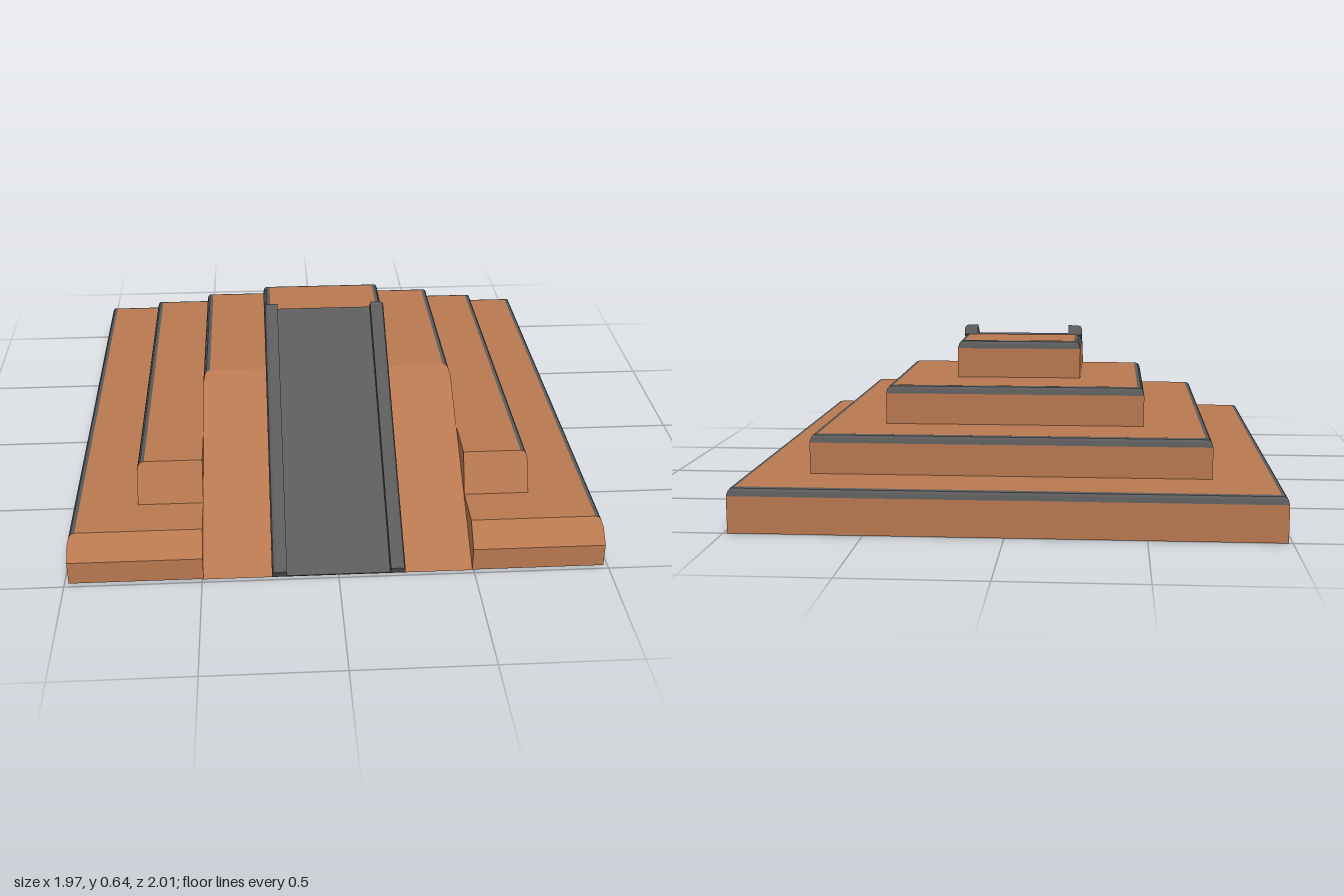
import * as THREE from 'three';

const brick = new THREE.MeshStandardMaterial({ color: 0xb87850 });
brick.name = 'terracotta';
const stone = new THREE.MeshStandardMaterial({ color: 0x5a5a5a });
stone.name = 'dark stone';

const SLOPE = 0.61, RAMP_HALF = 0.495, STAIR_HALF = 0.245, RAMP_FOOT = 0.983;
const rampZ = (y) => RAMP_FOOT - y / SLOPE;

// Edge trim section: [inset, drop below the top]
const TRIM = [[0, 0.03], [0.005, 0.012], [0.012, 0.003], [0.026, 0]];

// One terrace: stacked outlines with trimmed sides and back, plain front, optional notch for the ramp
function makeTier(name, half, back, lowYs, top, frontZ, notched) {
  const levels = [
    ...lowYs.map((y) => [0, y]),
    ...TRIM.map(([inset, drop]) => [inset, top - drop]),
  ];
  const rings = levels.map(([d, y]) => {
    const w = half - d, f = frontZ(y), n = RAMP_HALF, r = 0.2;
    const outline = [[w, f], [w, back + d], [-w, back + d], [-w, f]];
    if (notched) outline.push([-n, f], [-n, r], [n, r], [n, f]);
    return outline.map(([x, z]) => [x, y, z]);
  });

  const brickPos = [], stonePos = [];
  for (let k = 0; k < rings.length - 1; k++) {
    const lo = rings[k], hi = rings[k + 1];
    lo.forEach((a, i) => {
      const j = (i + 1) % lo.length;
      const target = k >= lowYs.length && i < 3 ? stonePos : brickPos;
      target.push(...a, ...lo[j], ...hi[j], ...a, ...hi[j], ...hi[i]);
    });
  }
  const cap = rings[rings.length - 1];
  const flat = cap.map(([x, , z]) => new THREE.Vector2(x, -z));
  for (const face of THREE.ShapeUtils.triangulateShape(flat, [])) {
    for (const i of face) brickPos.push(...cap[i]);
  }

  const group = new THREE.Group();
  group.name = name;
  for (const [part, pos, mat] of [['Body', brickPos, brick], ['EdgeTrim', stonePos, stone]]) {
    const geo = new THREE.BufferGeometry();
    geo.setAttribute('position', new THREE.Float32BufferAttribute(pos, 3));
    geo.computeVertexNormals();
    const mesh = new THREE.Mesh(geo, mat);
    mesh.name = name + part;
    group.add(mesh);
  }
  return group;
}

// Sloping stairway with a raised kerb on either side
function makeStairway() {
  const group = new THREE.Group();
  group.name = 'stairway';
  const length = 1.163, kerbIn = 0.19, kerbH = 0.044, slabH = 0.008, round = 0.016;

  const slabGeo = new THREE.BoxGeometry(kerbIn * 2, slabH, length);
  slabGeo.translate(0, slabH / 2, -length / 2);
  const slab = new THREE.Mesh(slabGeo, stone);
  slab.name = 'stairSlab';
  group.add(slab);

  for (const side of [1, -1]) {
    const pts = [
      [kerbIn, 0], [STAIR_HALF, 0], [STAIR_HALF, kerbH - round],
      [STAIR_HALF - round * 0.3, kerbH - round * 0.3],
      [STAIR_HALF - round, kerbH], [kerbIn, kerbH],
    ];
    const shape = new THREE.Shape(pts.map(([x, y]) => new THREE.Vector2(side * x, y)));
    const geo = new THREE.ExtrudeGeometry(shape, { depth: length, bevelEnabled: false });
    geo.translate(0, 0, -length);
    const kerb = new THREE.Mesh(geo, stone);
    kerb.name = side > 0 ? 'leftKerb' : 'rightKerb';
    group.add(kerb);
  }
  group.position.z = RAMP_FOOT;
  group.rotation.x = Math.atan(SLOPE);
  return group;
}

export function createModel() {
  const model = new THREE.Group();
  model.name = 'steppedPyramid';

  // Lower terraces, with chamfered fronts on both sides of the ramp
  const baseFront = (y) => 0.98 - Math.max(0, y - 0.09) * 1.07;
  const secondFront = (y) => 0.73 - Math.max(0, y - 0.165) * 0.47;
  model.add(makeTier('baseTier', 0.985, -1, [0, 0.09], 0.165, baseFront, true));
  model.add(makeTier('secondTier', 0.74, -0.75, [0.165], 0.312, secondFront, true));

  // Upper terraces; the third runs down to the ground as the ramp
  model.add(makeTier('thirdTierAndRamp', RAMP_HALF, -0.505, [0], 0.46, rampZ, false));
  model.add(makeTier('topTier', STAIR_HALF, -0.255, [0.45], 0.606, rampZ, false));

  model.add(makeStairway());

  // Underside
  const bottom = new THREE.Mesh(new THREE.PlaneGeometry(1.97, 1.98), stone);
  bottom.name = 'underside';
  bottom.rotation.x = Math.PI / 2;
  bottom.position.z = -0.01;
  model.add(bottom);

  return model;
}
